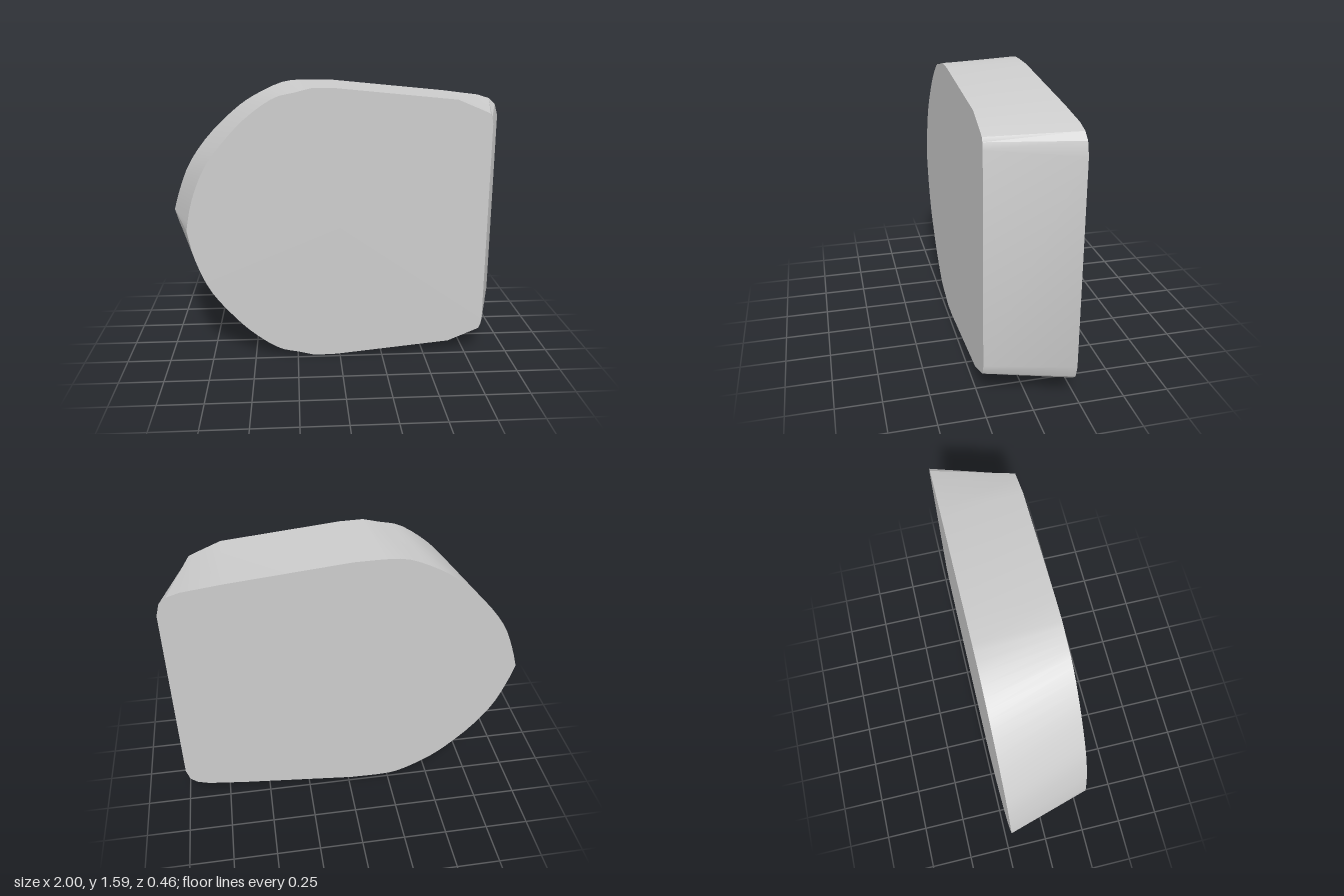
import * as THREE from 'three';
import { toCreasedNormals } from 'three/addons/utils/BufferGeometryUtils.js';

const MID = 0.7925; // height of the symmetry line
const DEPTH = 0.23;

// Closed outline, clockwise from the left tip: curved nose, tapering top edge, rounded corner, mirrored below
function outline(nose, corner) {
  const curve = new THREE.SplineCurve(nose.map(([x, y]) => new THREE.Vector2(x, y)));
  const upper = [
    ...curve.getPoints(20),
    ...[[-0.02, 1.582], ...corner].map(([x, y]) => new THREE.Vector2(x, y)),
  ];
  const lower = upper.slice(1).reverse().map((p) => new THREE.Vector2(p.x, 2 * MID - p.y));
  return [...upper, ...lower];
}

// Solid between two outlines of equal point count
function loft(front, back, depth) {
  const pos = [];
  const tri = (...corners) => corners.forEach(([p, z]) => pos.push(p.x, p.y, z));
  const centre = new THREE.Vector2(0, MID);
  front.forEach((f0, i) => {
    const j = (i + 1) % front.length;
    const f1 = front[j], b0 = back[i], b1 = back[j];
    tri([f0, depth], [f1, depth], [b0, -depth]);
    tri([f1, depth], [b1, -depth], [b0, -depth]);
    tri([centre, depth], [f1, depth], [f0, depth]);
    tri([centre, -depth], [b0, -depth], [b1, -depth]);
  });
  const geometry = new THREE.BufferGeometry();
  geometry.setAttribute('position', new THREE.Float32BufferAttribute(pos, 3));
  return toCreasedNormals(geometry, 0.4);
}

export function createModel() {
  const group = new THREE.Group();
  group.name = 'taperedBlock';

  // Larger rear face
  const back = outline(
    [[-1, MID], [-0.96, 0.925], [-0.89, 1.09], [-0.765, 1.26], [-0.6, 1.417], [-0.47, 1.503], [-0.31, 1.573], [-0.17, 1.585]],
    [[0.65, 1.515], [0.87, 1.487], [0.94, 1.465], [0.98, 1.43], [1, 1.36]],
  );
  // Smaller front face, drawn in at both ends
  const front = outline(
    [[-0.867, MID], [-0.83, 0.965], [-0.75, 1.155], [-0.63, 1.31], [-0.51, 1.43], [-0.365, 1.53], [-0.25, 1.56], [-0.15, 1.585]],
    [[0.65, 1.515], [0.8, 1.452], [0.833, 1.437], [0.843, 1.415], [0.85, 1.38]],
  );

  const body = new THREE.Mesh(
    loft(front, back, DEPTH),
    new THREE.MeshStandardMaterial({ color: 0xcccccc }),
  );
  body.name = 'body';
  group.add(body);
  return group;
}
